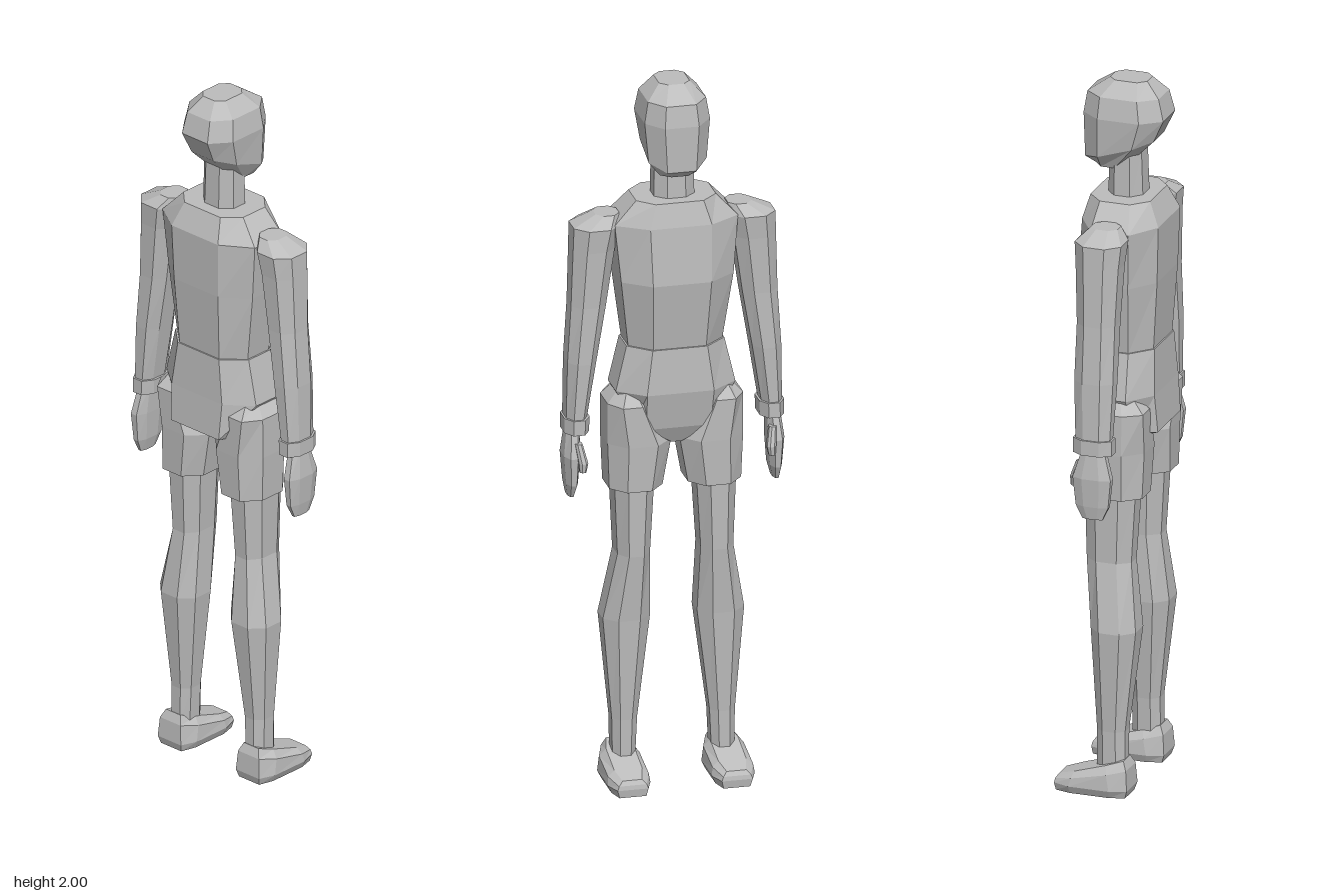
import * as THREE from 'three';

const grey = new THREE.MeshStandardMaterial({ color: 0xbcbcbc });
grey.name = 'mannequin grey';

// One eight-sided ring: [y, x0, x1, z0, z1, corner cut in x, corner cut in z, slope along z]
function ring([y, x0, x1, z0, z1, cx = 0.27, cz = 0.27, slope = 0]) {
  const dx = (x1 - x0) * cx, dz = (z1 - z0) * cz;
  return [
    [x1, z0 + dz], [x1, z1 - dz], [x1 - dx, z1], [x0 + dx, z1],
    [x0, z1 - dz], [x0, z0 + dz], [x0 + dx, z0], [x1 - dx, z0],
  ].map(([x, z]) => [x, y + slope * z, z]);
}

// Faceted, capped body through rings listed from bottom to top
function loft(name, rows) {
  const rings = rows.map(ring);
  const pos = [];
  const tri = (a, b, c) => pos.push(...a, ...b, ...c);
  for (let i = 0; i < rings.length - 1; i++) {
    const lo = rings[i], hi = rings[i + 1];
    for (let k = 0; k < 8; k++) {
      const n = (k + 1) % 8;
      tri(lo[n], lo[k], hi[k]);
      tri(lo[n], hi[k], hi[n]);
    }
  }
  const bottom = rings[0], top = rings[rings.length - 1];
  for (let k = 1; k < 7; k++) {
    tri(bottom[0], bottom[k], bottom[k + 1]);
    tri(top[0], top[k + 1], top[k]);
  }
  const geo = new THREE.BufferGeometry();
  geo.setAttribute('position', new THREE.Float32BufferAttribute(pos, 3));
  geo.computeVertexNormals();
  const mesh = new THREE.Mesh(geo, grey);
  mesh.name = name;
  return mesh;
}

const mirror = rows => rows.map(([y, x0, x1, ...rest]) => [y, -x1, -x0, ...rest]);

// Body on the centre line; the figure looks towards -z
const centre = {
  head: [
    [1.75, -0.05, 0.05, -0.07, 0.015],
    [1.803, -0.08, 0.08, -0.095, 0.1, 0.25, 0.25, 0.33],
    [1.9, -0.09, 0.09, -0.097, 0.13, 0.24, 0.24],
    [1.96, -0.08, 0.08, -0.088, 0.115, 0.24, 0.24],
    [2.0, -0.042, 0.042, -0.03, 0.075, 0.25, 0.2],
  ],
  neck: [
    [1.65, -0.056, 0.056, -0.035, 0.065],
    [1.8, -0.054, 0.054, -0.03, 0.06],
  ],
  chest: [
    [1.255, -0.13, 0.13, -0.07, 0.112, 0.22, 0.28],
    [1.45, -0.155, 0.155, -0.1, 0.125, 0.24, 0.25],
    [1.61, -0.17, 0.17, -0.087, 0.13, 0.25, 0.25],
    [1.675, -0.11, 0.11, -0.07, 0.1, 0.2, 0.25],
  ],
  pelvis: [
    [0.975, -0.03, 0.03, -0.035, 0.05],
    [1.025, -0.11, 0.11, -0.06, 0.13, 0.1, 0.3],
    [1.13, -0.165, 0.165, -0.08, 0.122, 0.22, 0.28],
    [1.257, -0.135, 0.135, -0.075, 0.116, 0.22, 0.28],
  ],
};

// Limbs of the +x side, mirrored for the other one
const limbs = {
  upperThigh: [
    [0.85, 0.035, 0.182, -0.065, 0.105],
    [0.98, 0.012, 0.187, -0.07, 0.11],
    [1.095, 0.07, 0.187, -0.07, 0.112],
    [1.13, 0.1, 0.155, -0.04, 0.08],
  ],
  leg: [
    [0.07, 0.105, 0.168, -0.02, 0.06],
    [0.18, 0.1, 0.17, -0.02, 0.06],
    [0.47, 0.065, 0.195, -0.035, 0.093],
    [0.66, 0.07, 0.16, -0.055, 0.072],
    [0.87, 0.058, 0.168, -0.06, 0.085],
  ],
  foot: [
    [0, 0.095, 0.192, -0.127, 0.07, 0.12, 0.22],
    [0.022, 0.085, 0.203, -0.13, 0.077, 0.14, 0.22],
    [0.062, 0.088, 0.2, -0.128, 0.073, 0.16, 0.25, 0.22],
    [0.083, 0.105, 0.182, -0.12, 0.062, 0.15, 0.25, 0.31],
  ],
  arm: [
    [1.05, 0.242, 0.298, -0.033, 0.064],
    [1.22, 0.215, 0.295, -0.04, 0.07],
    [1.38, 0.188, 0.285, -0.038, 0.07],
    [1.54, 0.165, 0.28, -0.045, 0.076],
    [1.605, 0.15, 0.278, -0.05, 0.082],
    [1.635, 0.15, 0.215, -0.02, 0.055],
  ],
  cuff: [
    [1.018, 0.236, 0.303, -0.04, 0.07],
    [1.06, 0.234, 0.303, -0.04, 0.07],
  ],
  hand: [
    [0.833, 0.274, 0.292, -0.012, 0.045],
    [0.87, 0.265, 0.298, -0.03, 0.062],
    [0.95, 0.26, 0.304, -0.038, 0.07],
    [1.025, 0.258, 0.295, -0.015, 0.05],
  ],
  thumb: [
    [0.915, 0.252, 0.27, -0.053, -0.033],
    [0.94, 0.247, 0.272, -0.055, -0.025],
    [0.99, 0.258, 0.278, -0.035, -0.008],
  ],
};

export function createModel() {
  const model = new THREE.Group();
  model.name = 'figure';
  for (const [name, rows] of Object.entries(centre)) model.add(loft(name, rows));
  for (const [name, rows] of Object.entries(limbs)) {
    const part = name[0].toUpperCase() + name.slice(1);
    model.add(loft('left' + part, rows), loft('right' + part, mirror(rows)));
  }
  return model;
}
